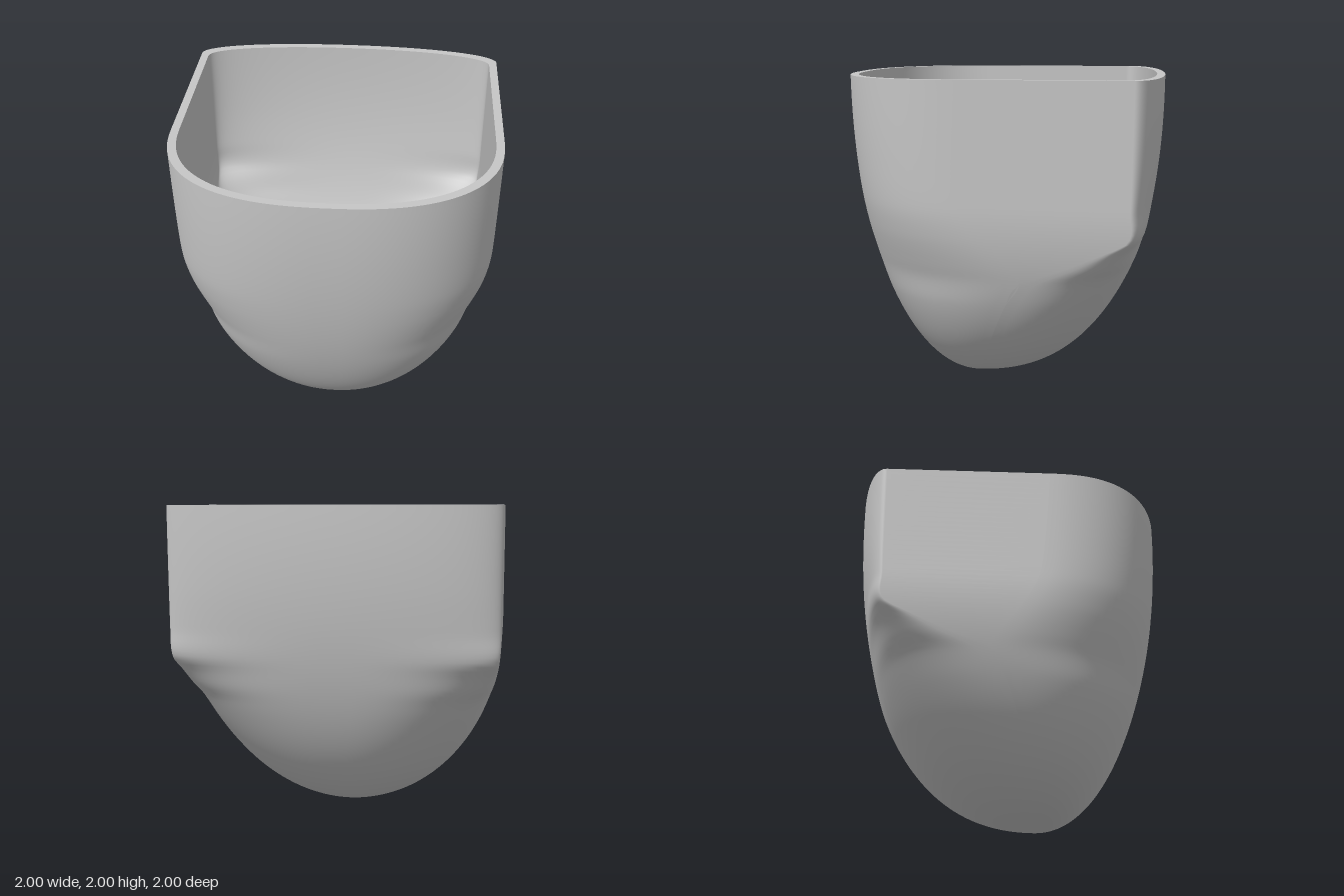
import * as THREE from 'three';

// How each level is rounded:
// y, front curve start, back curve start, front roundness, back roundness
const LEVELS = [
  [0, 0.2, 0.2, 2, 2],
  [0.1, 0.15, 0.15, 2.1, 2.15],
  [0.27, 0.09, 0.09, 2.2, 2.3],
  [0.46, 0.02, 0.02, 2.3, 2.45],
  [0.65, -0.06, -0.06, 2.4, 2.7],
  [0.8, -0.15, -0.15, 2.45, 3],
  [0.9, -0.09, -0.4, 2.45, 3],
  [1.0, -0.01, -0.63, 2.45, 2.6],
  [1.08, 0.05, -0.78, 2.45, 2.3],
  [1.25, 0.14, -0.79, 2.45, 2.1],
  [1.5, 0.18, -0.795, 2.45, 2.1],
  [2, 0.22, -0.8, 2.45, 2.1],
];
const RINGS = 100;
const HALF = 64; // segments in each half of a ring
const LOWEST_Z = 0.2;

// Smooth blend between the levels
function levelAt(y) {
  const last = LEVELS.length - 1;
  let i = 0;
  while (i < last - 1 && y > LEVELS[i + 1][0]) i++;
  const slope = (k, c) => {
    const a = LEVELS[Math.max(0, k - 1)], b = LEVELS[Math.min(last, k + 1)];
    return (b[c] - a[c]) / (b[0] - a[0]);
  };
  const p = LEVELS[i], q = LEVELS[i + 1], h = q[0] - p[0];
  const t = (y - p[0]) / h, t2 = t * t, t3 = t2 * t;
  return [1, 2, 3, 4].map((c) =>
    (2 * t3 - 3 * t2 + 1) * p[c] + (t3 - 2 * t2 + t) * h * slope(i, c) +
    (3 * t2 - 2 * t3) * q[c] + (t3 - t2) * h * slope(i + 1, c));
}

// Reach (0 to 1) of a rounded profile that becomes upright at the given height
function reach(y, height, n) {
  return (1 - Math.max(0, 1 - y / height) ** n) ** (1 / n);
}

// Closed ring: rounded front half, straight sides, flatter back half
function ring(y) {
  const [fStart, bStart, nf, nb] = levelAt(y);
  const w = reach(y, 1.26, 2);
  const front = LOWEST_Z + (1 - LOWEST_Z) * reach(y, 2, 2);
  const back = LOWEST_Z - (1 + LOWEST_Z) * reach(y, 2, 2.3);
  const pts = [];
  for (const s of [0, 1]) {
    const n = s ? nb : nf, start = s ? bStart : fStart, depth = s ? back - bStart : front - fStart;
    for (let j = 0; j <= HALF; j++) {
      const a = (j / HALF) * Math.PI;
      const c = Math.cos(a) * (s ? -1 : 1);
      const x = Math.sign(c) * Math.abs(c) ** (2 / n);
      const z = j === HALF ? 0 : Math.sin(a) ** (2 / n);
      pts.push([x * w, y, start + depth * z]);
    }
  }
  return pts;
}

// Skin a stack of rings
function loft(rings, flip) {
  const n = rings[0].length, index = [];
  for (let i = 0; i < rings.length - 1; i++) {
    for (let j = 0; j < n; j++) {
      const a = i * n + j, b = i * n + ((j + 1) % n), c = a + n, d = b + n;
      if (flip) index.push(a, d, c, a, b, d);
      else index.push(a, c, d, a, d, b);
    }
  }
  const g = new THREE.BufferGeometry();
  g.setAttribute('position', new THREE.Float32BufferAttribute(rings.flat(2), 3));
  g.setIndex(index);
  g.computeVertexNormals();
  // the lowest ring is a single point
  if (rings.length > 2) {
    for (let j = 0; j < n; j++) g.attributes.normal.setXYZ(j, 0, flip ? 1 : -1, 0);
  }
  return g;
}

export function createModel() {
  const group = new THREE.Group();
  group.name = 'roundBottomedCup';
  const grey = new THREE.MeshStandardMaterial({ color: 0xc6c6c6 });
  grey.name = 'grey';

  // Rings lie closer together near the rounded base
  const outer = [];
  for (let i = 0; i <= RINGS; i++) outer.push(ring(2 * (i / RINGS) ** 2));
  // Inner wall, leaving a shell about 0.05 thick
  const inner = outer.map((r) => r.map(([x, y, z]) => [x * 0.95, 0.05 + y * 0.975, z * 0.95]));

  const add = (name, geometry) => {
    const mesh = new THREE.Mesh(geometry, grey);
    mesh.name = name;
    group.add(mesh);
  };
  add('outerWall', loft(outer, false));
  add('innerWall', loft(inner, true));
  // Flat rim joining the two walls
  add('rim', loft([outer[RINGS], inner[RINGS]], false));
  return group;
}
